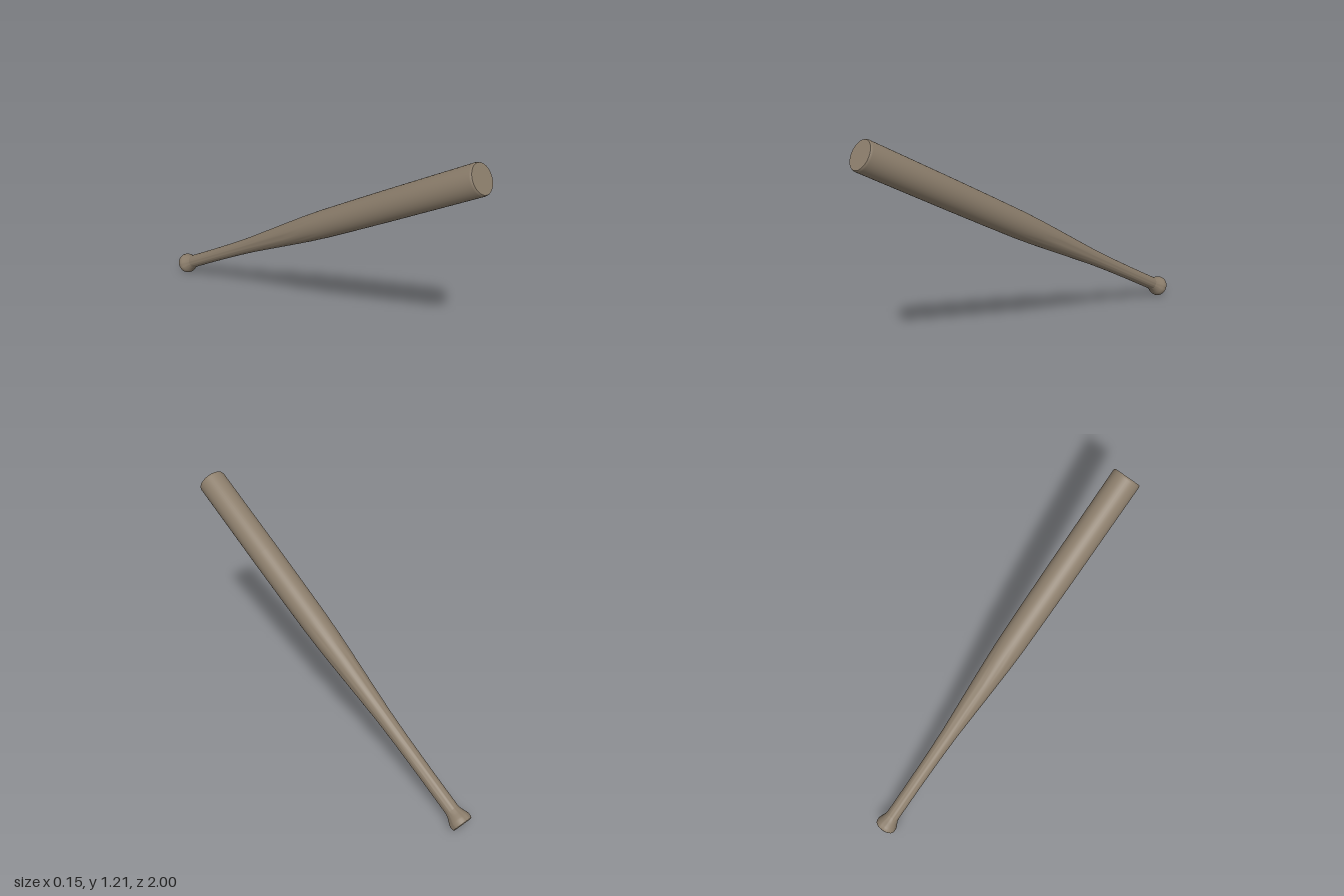
import * as THREE from 'three';
import { toCreasedNormals } from 'three/addons/utils/BufferGeometryUtils.js';

export function createModel() {
  const group = new THREE.Group();
  group.name = 'bat';
  const wood = new THREE.MeshStandardMaterial({ color: 0x8b7d6b });
  wood.name = 'wood';

  // Centres of the two ends of the tilted axis
  const knobEnd = new THREE.Vector3(0, 0.045, -0.974);
  const tipEnd = new THREE.Vector3(0, 1.147, 0.965);
  const axis = tipEnd.clone().sub(knobEnd);
  const length = axis.length();
  axis.normalize();

  // Turn a [radius, distance along the axis] profile into a round part
  function addTurned(name, profile) {
    const points = profile.map(([r, t]) => new THREE.Vector2(r, t));
    const geometry = toCreasedNormals(new THREE.LatheGeometry(points, 40), 0.5);
    const mesh = new THREE.Mesh(geometry, wood);
    mesh.name = name;
    mesh.position.copy(knobEnd);
    mesh.quaternion.setFromUnitVectors(new THREE.Vector3(0, 1, 0), axis);
    group.add(mesh);
  }

  // Flared knob at the grip end
  addTurned('knob', [
    [0, 0], [0.049, 0], [0.054, 0.004], [0.056, 0.012], [0.056, 0.026],
    [0.053, 0.036], [0.046, 0.052], [0.04, 0.068], [0.036, 0.084],
  ]);

  // Slim handle, taper and barrel with a softened flat tip
  addTurned('handleAndBarrel', [
    [0.036, 0.084], [0.036, 0.3], [0.038, 0.5], [0.042, 0.65],
    [0.05, 0.8], [0.06, 0.98], [0.067, 1.12], [0.071, 1.25], [0.073, 1.45],
    [0.0745, 1.7], [0.075, length - 0.012], [0.0735, length - 0.004],
    [0.071, length], [0, length],
  ]);

  return group;
}
